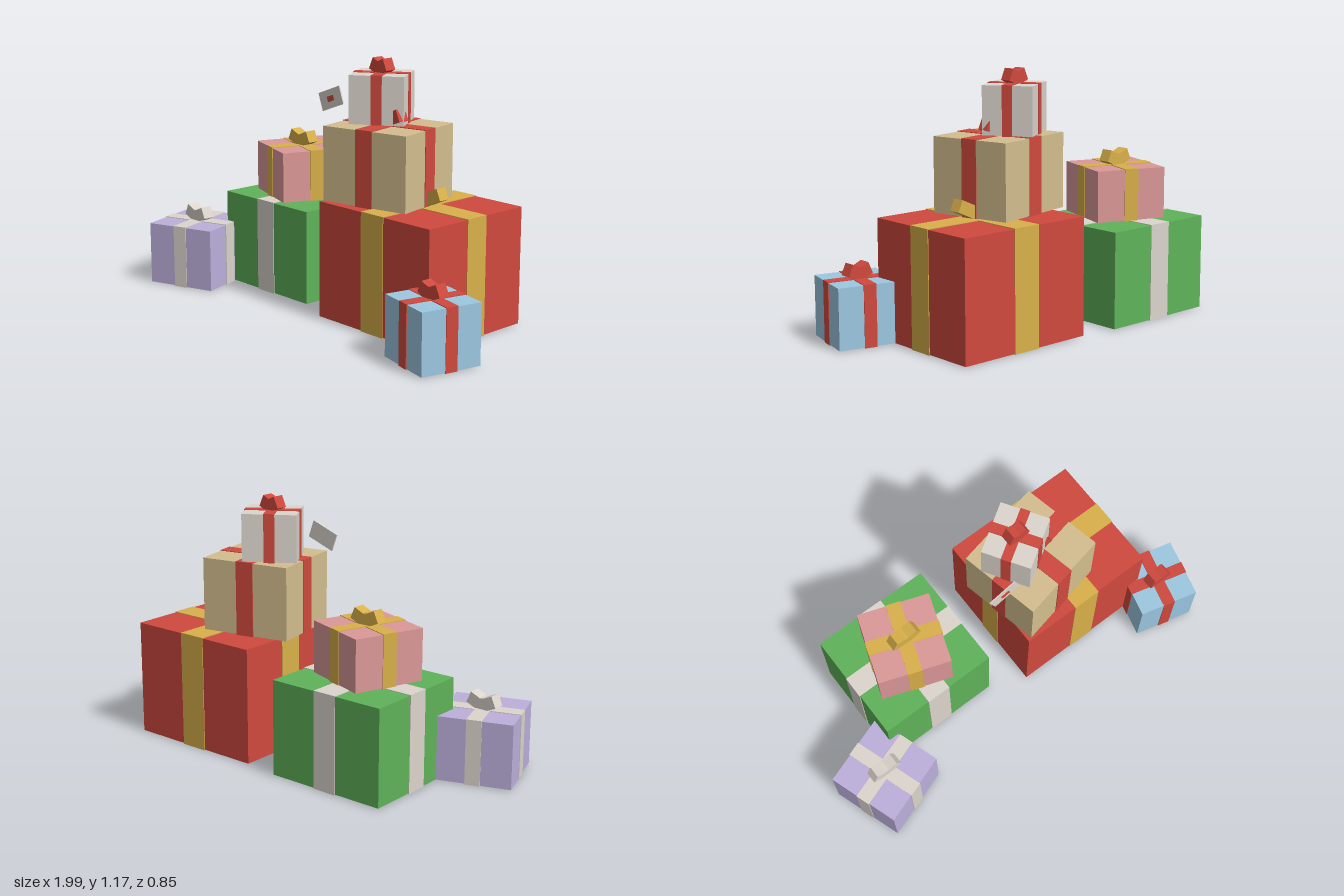
import * as THREE from 'three';

const mat = (name, color) => {
  const m = new THREE.MeshStandardMaterial({ color });
  m.name = name;
  return m;
};

const M = {
  red: mat('red', 0xd0493e),
  green: mat('green', 0x5fb35a),
  gold: mat('gold', 0xd9b04a),
  cream: mat('cream', 0xdcd5cd),
  tan: mat('tan', 0xd3be8e),
  lilac: mat('lilac', 0xbdb0dc),
  pink: mat('pink', 0xdc9898),
  blue: mat('blue', 0x9cc7e0),
};

function box(name, w, h, d, material, x = 0, y = 0, z = 0) {
  const mesh = new THREE.Mesh(new THREE.BoxGeometry(w, h, d), material);
  mesh.name = name;
  mesh.position.set(x, y, z);
  return mesh;
}

// Bow: two square loops tilted up and outwards, with a knot between them
function makeBow(width, material) {
  const bow = new THREE.Group();
  bow.name = 'bow';
  const tilt = 0.42, thick = 0.056, base = -0.003 - 0.08 * width;
  const length = width / 2 / Math.cos(tilt);
  for (const side of [1, -1]) {
    const loop = new THREE.Group();
    loop.name = side > 0 ? 'leftLoop' : 'rightLoop';
    loop.add(box('loop', length, thick, thick, material, side * length / 2, thick / 2, 0));
    loop.position.y = base;
    loop.rotation.z = side * tilt;
    bow.add(loop);
  }
  bow.add(box('knot', 0.04, 0.05, 0.05, material, 0, 0.025, 0));
  return bow;
}

// Present: box body, two crossing ribbon bands and a bow that faces the front
function makeGift(name, [w, h, d], [x, y, z], turn, body, ribbon) {
  const gift = new THREE.Group();
  gift.name = name;
  gift.position.set(x, y, z);
  const wrap = new THREE.Group();
  wrap.name = 'wrappedBox';
  wrap.rotation.y = turn * Math.PI / 180;
  const lip = 0.003;
  const mid = h / 2 + lip;
  wrap.add(
    box('body', w, h, d, body, 0, mid, 0),
    box('ribbonFrontToBack', w * 0.2, h + lip * 2, d + lip * 2, ribbon, 0, mid, 0),
    box('ribbonSideToSide', w + lip * 2, h + lip * 2, d * 0.2, ribbon, 0, mid, 0),
  );
  const bow = makeBow(w * 0.44, ribbon);
  bow.position.y = h + lip * 2;
  gift.add(wrap, bow);
  return gift;
}

export function createModel() {
  const model = new THREE.Group();
  model.name = 'giftPile';

  // name, size, base position, turn in degrees, colours
  const gifts = [
    ['largeRedGift', [0.675, 0.535, 0.582], [0.408, 0, -0.107], 0, M.red, M.gold],
    ['tanGift', [0.43, 0.337, 0.387], [0.259, 0.54, -0.058], 12, M.tan, M.red],
    ['smallTopGift', [0.247, 0.217, 0.225], [0.19, 0.88, -0.084], 32.5, M.cream, M.red],
    ['greenGift', [0.58, 0.44, 0.53], [-0.392, 0, -0.156], 0, M.green, M.cream],
    ['pinkGift', [0.339, 0.236, 0.338], [-0.395, 0.445, -0.132], -19.3, M.pink, M.gold],
    ['lilacGift', [0.344, 0.294, 0.342], [-0.781, 0, 0.206], 19, M.lilac, M.cream],
    ['blueGift', [0.286, 0.272, 0.284], [0.82, 0, 0.236], -14, M.blue, M.red],
  ];
  for (const g of gifts) model.add(makeGift(...g));

  // Tilted gift tag beside the top box
  const tag = new THREE.Group();
  tag.name = 'giftTag';
  tag.add(
    box('card', 0.143, 0.083, 0.006, M.cream),
    box('cardPatch', 0.042, 0.024, 0.003, M.red, 0, 0, 0.004),
  );
  tag.position.set(0.019, 0.98, 0.064);
  tag.rotation.z = 0.35;
  model.add(tag);

  return model;
}
